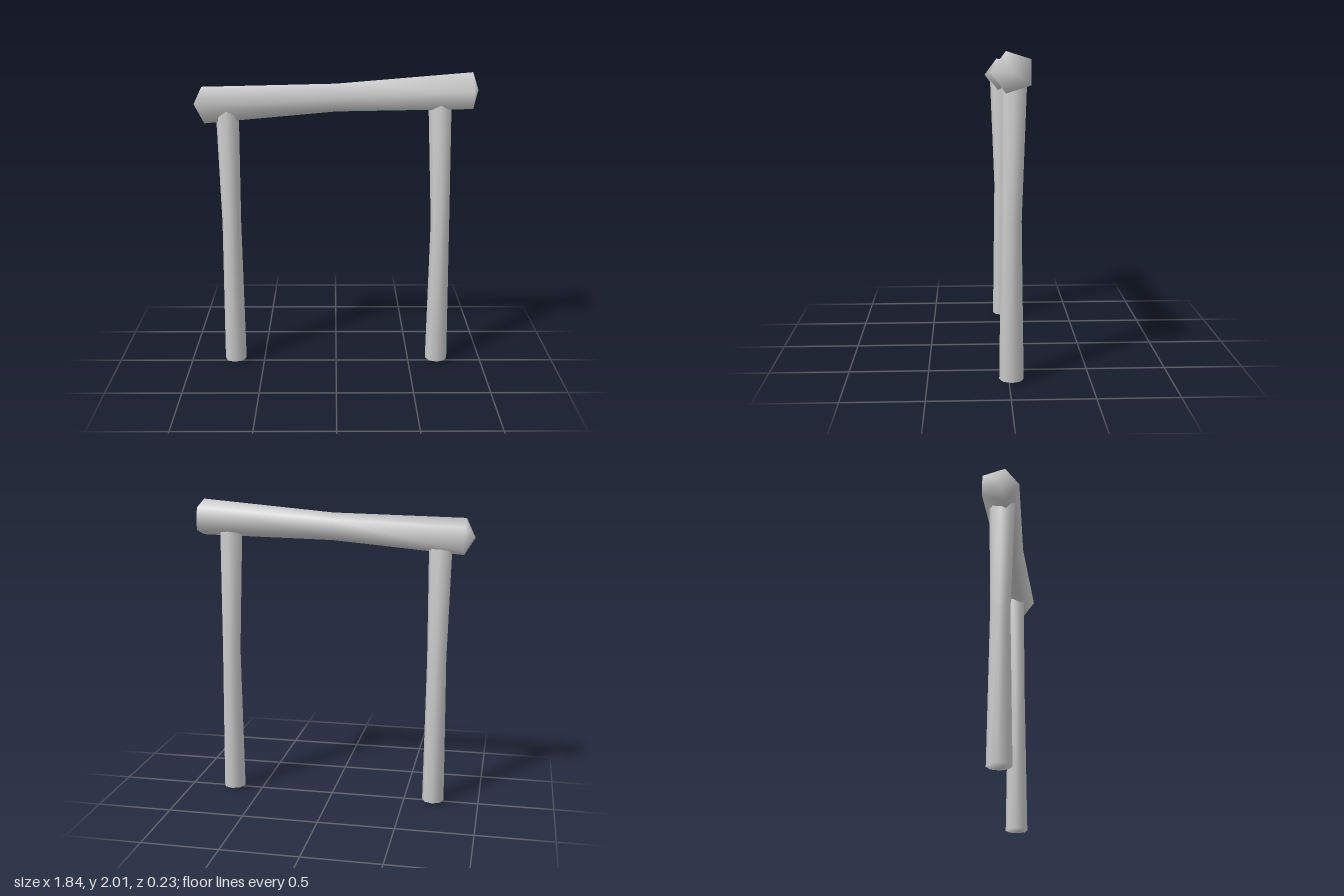
import * as THREE from 'three';

// Smooth log skinned through rings of points, with a shallow pointed cap at each end.
// Rings must run counter-clockwise as seen from the far (last) end.
function log(name, rings, startTip, endTip) {
  const n = rings[0].length;
  const pos = [...rings.flat(2), ...startTip, ...endTip];
  const start = rings.length * n, end = start + 1, last = start - n;
  const idx = [];
  for (let i = 0; i < n; i++) {
    const j = (i + 1) % n;
    for (let r = 0; r < rings.length - 1; r++) {
      const a = r * n + i, b = r * n + j;
      idx.push(a, b, b + n, a, b + n, a + n);
    }
    idx.push(start, j, i, end, last + i, last + j);
  }
  const geo = new THREE.BufferGeometry();
  geo.setAttribute('position', new THREE.Float32BufferAttribute(pos, 3));
  geo.setIndex(idx);
  geo.computeVertexNormals();
  const mesh = new THREE.Mesh(geo, new THREE.MeshStandardMaterial({ color: 0xcccccc }));
  mesh.name = name;
  return mesh;
}

// Five-sided beam ring, one corner pointing forward; seen from +x
function beamRing(x, y, z, r, lean = 0) {
  return Array.from({ length: 5 }, (_, i) => {
    const a = -i * Math.PI * 2 / 5;
    const dy = -Math.sin(a) * r * 0.97;
    return [x - dy * lean, y + dy, z + Math.cos(a) * r];
  }).reverse();
}

// Eight-sided post ring between x and z limits
function postRing(y, x0, x1, z0, z1) {
  return Array.from({ length: 8 }, (_, i) => {
    const a = -i * Math.PI / 4;
    return [(x0 + x1) / 2 + Math.cos(a) * (x1 - x0) / 2, y, (z0 + z1) / 2 + Math.sin(a) * (z1 - z0) / 2];
  });
}

export function createModel() {
  const group = new THREE.Group();

  // Crossbeam, waisted in the middle and rising to its left end
  group.add(log('crossbeam', [
    beamRing(-0.855, 1.795, -0.013, 0.128, 0.04),
    beamRing(0, 1.842, -0.012, 0.097),
    beamRing(0.875, 1.887, -0.013, 0.128, 0.04),
  ], [-0.92, 1.795, -0.013], [0.915, 1.887, -0.013]));

  // Posts, slightly waisted, their tops sunk into the beam
  group.add(log('rightPost', [
    postRing(0.015, -0.77, -0.625, -0.09, 0.06),
    postRing(1.0, -0.76, -0.635, -0.075, 0.048),
    postRing(1.76, -0.777, -0.628, -0.085, 0.078),
  ], [-0.698, 0, -0.015], [-0.7, 1.78, -0.005]));
  group.add(log('leftPost', [
    postRing(0.015, 0.62, 0.77, -0.09, 0.06),
    postRing(1.0, 0.633, 0.757, -0.075, 0.048),
    postRing(1.81, 0.597, 0.747, -0.105, 0.047),
  ], [0.695, 0, -0.015], [0.672, 1.83, -0.03]));

  return group;
}
